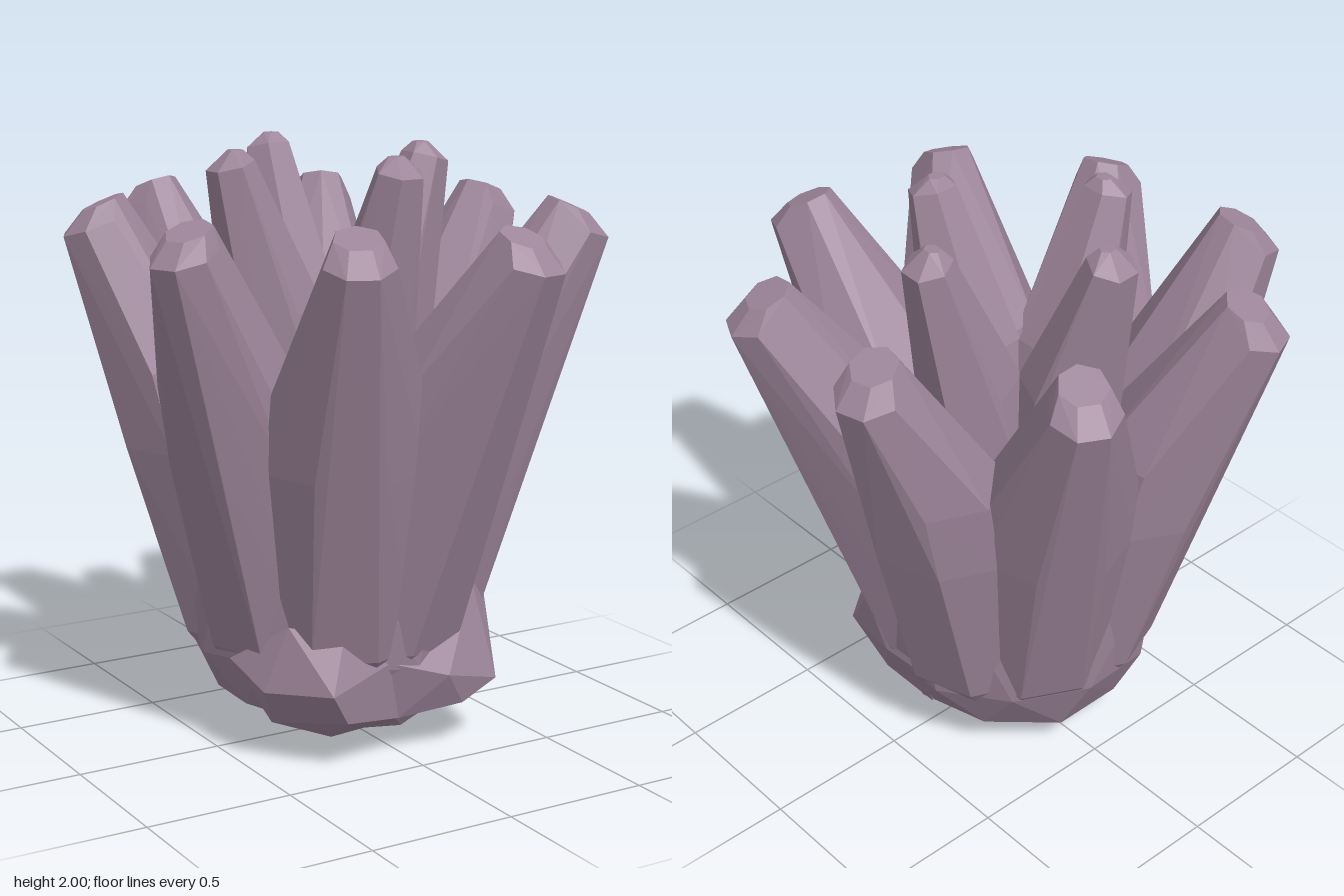
import * as THREE from 'three';
import { ConvexGeometry } from 'three/addons/geometries/ConvexGeometry.js';

const stone = new THREE.MeshStandardMaterial({ color: 0x9d859a, flatShading: true });
stone.name = 'mauve stone';

const v = (x, y, z) => new THREE.Vector3(x, y, z);
const CENTRE = v(-0.03, 0, -0.045);

function hull(name, pts) {
  const mesh = new THREE.Mesh(new ConvexGeometry(pts), stone);
  mesh.name = name;
  return mesh;
}

// faceted shard; stations are [centre, radial half, side half, tilt], all facing away from the axis
function shard(name, axis, stations, sides) {
  const pts = [];
  for (const [c, hr, ht, tilt = 0] of stations) {
    const out = v(c.x - axis.x, 0, c.z - axis.z).normalize();
    for (let i = 0; i < sides; i++) {
      const t = ((i + 0.5) / sides) * Math.PI * 2;
      const r = Math.cos(t) * hr, w = Math.sin(t) * ht;
      pts.push(v(c.x + out.x * r - out.z * w, c.y + Math.cos(t) * tilt, c.z + out.z * r + out.x * w));
    }
  }
  return hull(name, pts);
}

export function createModel() {
  const group = new THREE.Group();
  group.name = 'crystalCluster';

  // outer ring of shards: tip x, tip z, top y, belly x, belly z
  const outer = [
    [-0.35, -0.80, 1.84, -0.23, -0.56], [0.35, -0.77, 1.83, 0.22, -0.54],
    [0.75, -0.25, 1.82, 0.52, -0.23], [0.73, 0.33, 1.81, 0.46, 0.2],
    [0.2, 0.8, 1.78, 0.115, 0.485], [-0.37, 0.71, 1.80, -0.27, 0.47],
    [-0.74, 0.26, 1.80, -0.54, 0.13], [-0.75, -0.39, 1.83, -0.54, -0.31],
  ];
  outer.forEach(([x, z, top, bx, bz], i) => {
    const tip = v(x, 0, z), belly = v(bx, 0, bz);
    const along = (k, y) => CENTRE.clone().lerp(belly, k).setY(y);
    const near = (k, y) => CENTRE.clone().lerp(tip, k).setY(y);
    group.add(shard('outerShard' + (i + 1), CENTRE, [
      [along(0.4, 0.22), 0.17, 0.19],
      [along(0.52, 0.36), 0.215, 0.25],
      [along(0.82, 1.0), 0.235, 0.262],
      [along(0.94, 1.27), 0.225, 0.246],
      [near(0.975, top - 0.1), 0.108, 0.115, -0.035],
      [near(0.94, top - 0.025), 0.07, 0.08, -0.03],
    ], 7));
  });

  // taller inner shards with pointed caps
  const axis = v(0, 0, -0.1);
  const inner = [[-0.03, -0.48, 2.0], [0.37, -0.08, 1.98], [-0.38, -0.1, 1.98], [0.03, 0.3, 1.97]];
  inner.forEach(([x, z, top], i) => {
    const tip = v(x, 0, z);
    const near = (k, y) => axis.clone().lerp(tip, k).setY(y);
    group.add(shard('innerShard' + (i + 1), axis, [
      [near(0.2, 0.3), 0.14, 0.14],
      [near(0.44, 1.2), 0.19, 0.19],
      [near(0.56, 1.45), 0.17, 0.16],
      [near(0.98, top - 0.05), 0.078, 0.085, -0.02],
      [near(0.93, top), 0.025, 0.03],
    ], 6));
  });

  // tapered core that fuses the shards, closing into the root below: [y, radius, sides]
  const core = [
    v(-0.02, 0, -0.16), v(-0.2, 0.04, -0.1), v(-0.2, 0.07, 0.22), v(0.05, 0.06, 0.28), v(0.2, 0.08, -0.1),
  ];
  for (const [y, r, sides] of [[0.13, 0.39, 9], [0.32, 0.485, 11], [0.6, 0.505, 16], [1.0, 0.51, 16]]) {
    for (let i = 0; i < sides; i++) {
      const t = (i / sides) * Math.PI * 2 + y;
      core.push(v(CENTRE.x + r * Math.cos(t), y + 0.02 * Math.sin(i * 5), CENTRE.z + r * Math.sin(t)));
    }
  }
  group.add(hull('core', core));

  // two lumps at the front of the root
  group.add(hull('leftLump', [
    v(0.3, 0.54, 0.33), v(0.41, 0.46, 0.24), v(0.44, 0.33, 0.1), v(0.36, 0.14, 0.2), v(0.34, 0.22, 0.42),
    v(0.2, 0.16, 0.43), v(0.12, 0.28, 0.47), v(-0.08, 0.34, 0.42), v(-0.02, 0.13, 0.38),
    v(0.45, 0.36, -0.12), v(0.36, 0.14, -0.05), v(0.2, 0.09, 0.2),
  ]));
  group.add(hull('rightLump', [
    v(-0.39, 0.48, 0.3), v(-0.24, 0.46, 0.4), v(-0.46, 0.26, 0.26), v(-0.4, 0.13, 0.2), v(-0.32, 0.28, 0.47),
    v(-0.25, 0.17, 0.44), v(-0.08, 0.34, 0.42), v(-0.02, 0.13, 0.38), v(-0.22, 0.07, 0.28), v(-0.5, 0.34, 0.1),
    v(-0.05, 0.07, 0.25),
  ]));

  return group;
}
